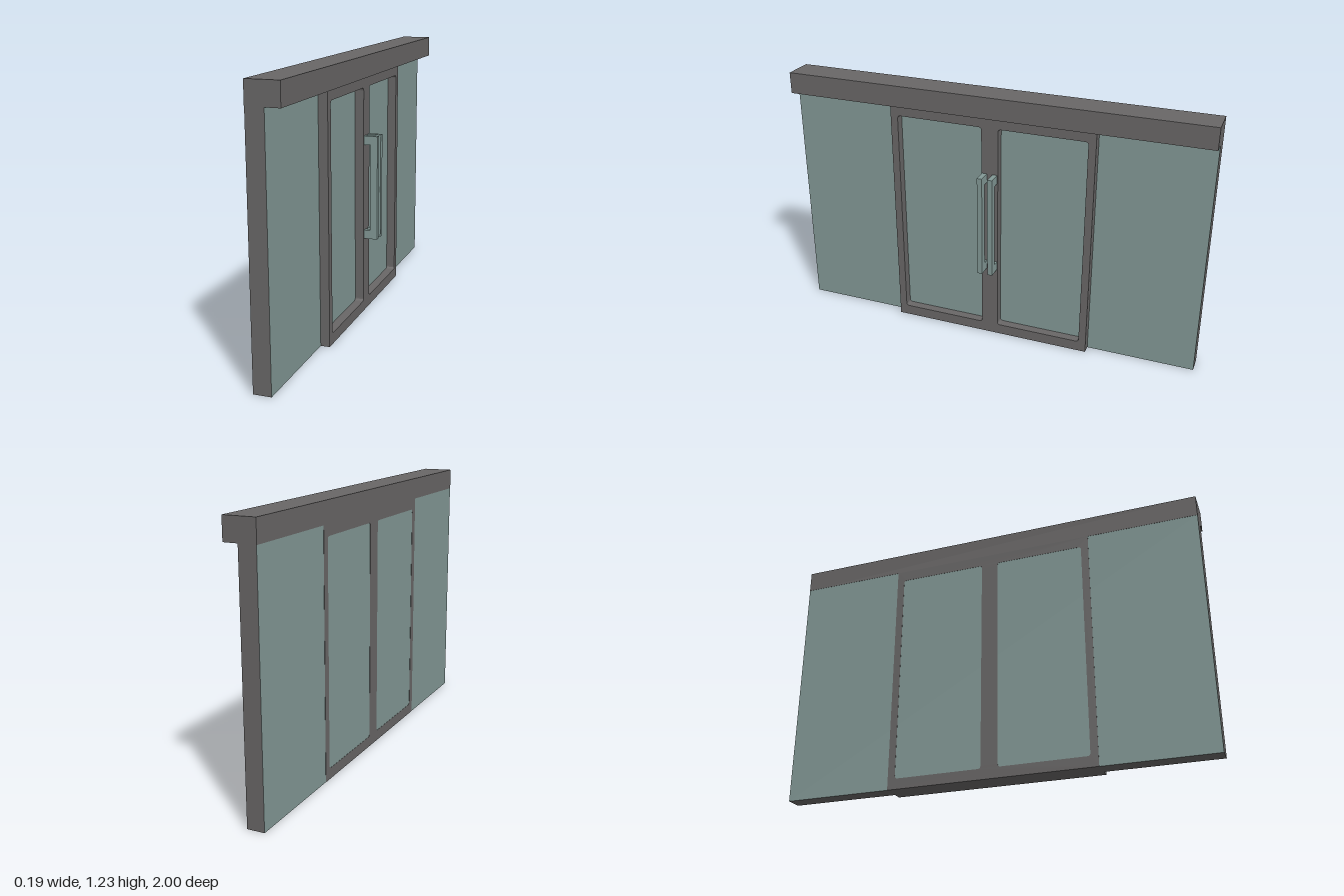
import * as THREE from 'three';

const WALL_H = 1.125, BACK = -0.094, WALL_FRONT = -0.015, DOOR_FRONT = 0.027;

// Box given by its min and max corners
function box(name, material, [x0, y0, z0], [x1, y1, z1]) {
  const mesh = new THREE.Mesh(new THREE.BoxGeometry(x1 - x0, y1 - y0, z1 - z0), material);
  mesh.position.set((x0 + x1) / 2, (y0 + y1) / 2, (z0 + z1) / 2);
  mesh.name = name;
  return mesh;
}

// Rectangle with slightly rounded corners
function roundedRect(path, x0, y0, x1, y1, r) {
  path.moveTo(x0 + r, y0);
  path.lineTo(x1 - r, y0).quadraticCurveTo(x1, y0, x1, y0 + r);
  path.lineTo(x1, y1 - r).quadraticCurveTo(x1, y1, x1 - r, y1);
  path.lineTo(x0 + r, y1).quadraticCurveTo(x0, y1, x0, y1 - r);
  path.lineTo(x0, y0 + r).quadraticCurveTo(x0, y0, x0 + r, y0);
  return path;
}

// Extrude a profile drawn in (z, y) backwards from x = front
function extrudeAlongX(name, material, shape, front, depth) {
  const geo = new THREE.ExtrudeGeometry(shape, { depth, bevelEnabled: false, curveSegments: 4 });
  geo.rotateY(-Math.PI / 2).translate(front, 0, 0);
  const mesh = new THREE.Mesh(geo, material);
  mesh.name = name;
  return mesh;
}

export function createModel() {
  const frame = new THREE.MeshStandardMaterial({ color: 0x696767 });
  frame.name = 'frame grey';
  const glass = new THREE.MeshStandardMaterial({ color: 0x839996 });
  glass.name = 'glass green';

  const model = new THREE.Group();
  model.name = 'slidingDoor';

  // Glazed wall: glass on both broad faces, grey on the edges
  model.add(box('glazedWall', [glass, glass, frame, frame, frame, frame],
    [BACK, 0, -1], [WALL_FRONT, WALL_H, 1]));

  // Overhanging header
  model.add(box('header', frame, [-0.095, WALL_H, -1], [0.05, 1.225, 1]));

  // Double door frame with two openings, repeated as a thin plate at the back
  const doors = new THREE.Shape();
  doors.moveTo(-0.49, 0).lineTo(0.49, 0).lineTo(0.49, WALL_H).lineTo(-0.49, WALL_H);
  for (const [z0, z1] of [[-0.455, -0.04], [0.04, 0.455]]) {
    doors.holes.push(roundedRect(new THREE.Path(), z0, 0.05, z1, 1.075, 0.014));
  }
  model.add(extrudeAlongX('doorFrame', frame, doors, DOOR_FRONT, DOOR_FRONT - WALL_FRONT));
  model.add(extrudeAlongX('backDoorFrame', frame, doors, BACK, 0.001));

  // Pair of pull handles: grip and two posts
  for (const side of [-1, 1]) {
    const handle = new THREE.Group();
    handle.name = side > 0 ? 'frontHandle' : 'backHandle';
    const z0 = side * 0.025 - 0.012, z1 = side * 0.025 + 0.012;
    handle.add(
      box('grip', glass, [0.058, 0.362, z0], [0.092, 0.853, z1]),
      box('lowerPost', glass, [DOOR_FRONT, 0.362, z0], [0.058, 0.403, z1]),
      box('upperPost', glass, [DOOR_FRONT, 0.812, z0], [0.058, 0.853, z1]),
    );
    model.add(handle);
  }
  return model;
}
